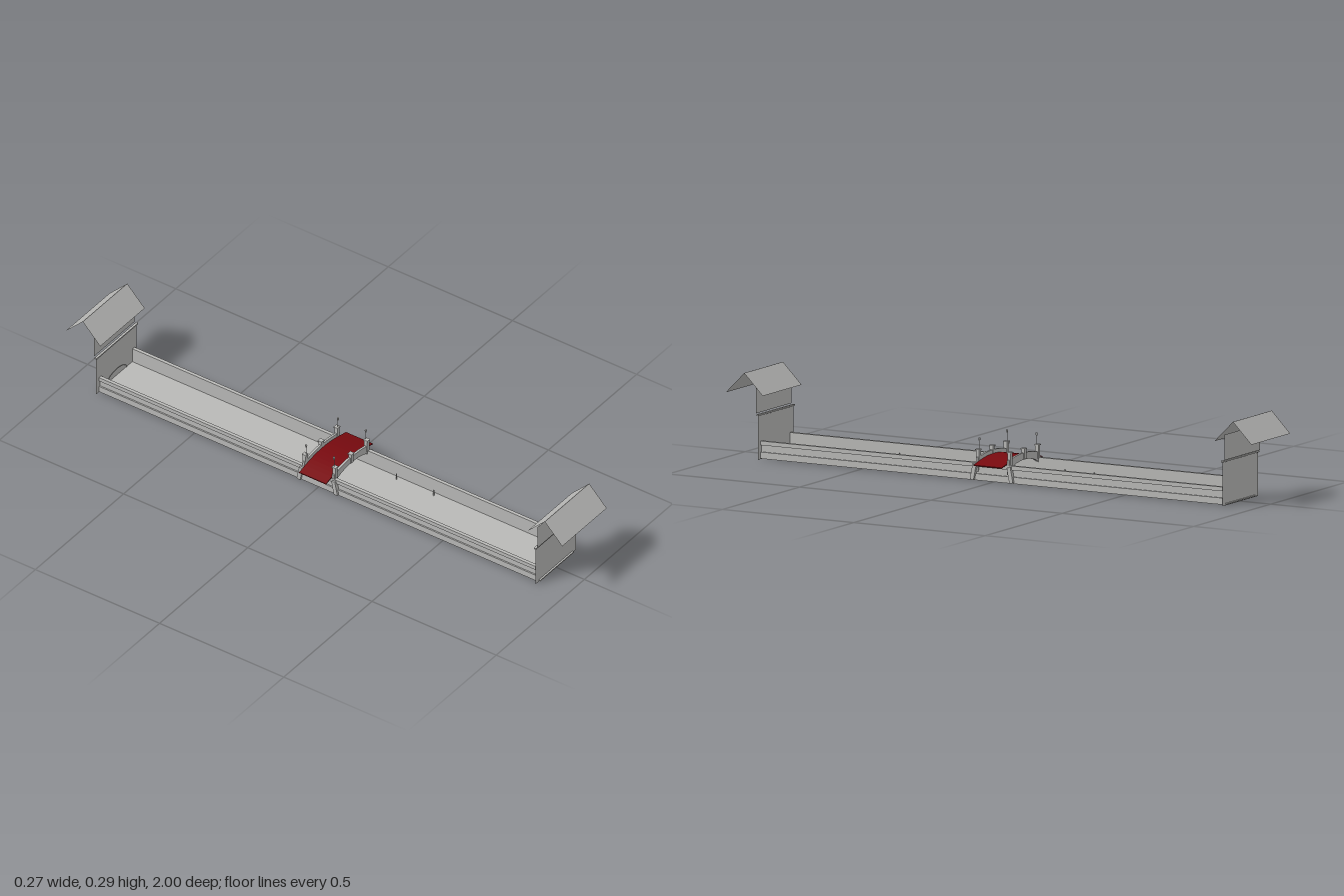
import * as THREE from 'three';

export function createModel() {
  const model = new THREE.Group();
  const stone = new THREE.MeshStandardMaterial({ color: 0xb8b8b6, side: THREE.DoubleSide });
  stone.name = 'grey stone';
  const carpet = new THREE.MeshStandardMaterial({ color: 0x780a0f, side: THREE.DoubleSide });
  carpet.name = 'dark red';

  const add = (name, geometry, material, x = 0, y = 0, z = 0) => {
    const mesh = new THREE.Mesh(geometry, material);
    mesh.name = name;
    mesh.position.set(x, y, z);
    model.add(mesh);
    return mesh;
  };
  const box = (name, w, h, d, x, y, z, material = stone) =>
    add(name, new THREE.BoxGeometry(w, h, d), material, x, y, z);

  // Long channel: floor and stepped side walls
  box('floor', 0.19, 0.004, 1.78, 0, 0.005, 0);
  for (const s of [-1, 1]) {
    box('wallBase', 0.01, 0.022, 1.765, s * 0.095, 0.013, 0);
    box('wallPanel', 0.005, 0.024, 1.765, s * 0.0925, 0.035, 0);
    box('wallCap', 0.012, 0.014, 1.765, s * 0.095, 0.054, 0);
  }

  // End walls with a thin rail, an upper panel and a gable roof
  for (const s of [-1, 1]) {
    add('endWall', new THREE.PlaneGeometry(0.23, 0.145), stone, 0, 0.0725, s * 0.884);
    box('endRail', 0.236, 0.005, 0.008, 0, 0.149, s * 0.884);
    add('upperPanel', new THREE.PlaneGeometry(0.23, 0.085), stone, 0, 0.1965, s * 0.892);
    for (const t of [-1, 1]) {
      const slope = add('roofSlope', new THREE.PlaneGeometry(0.252, Math.hypot(0.07, 0.071)),
        stone, 0, 0.2515, s * 0.93 + t * 0.035);
      slope.rotation.x = -t * Math.PI / 4;
    }
    const arch = add('endArch', new THREE.TorusGeometry(0.055, 0.001, 4, 20, Math.PI), stone, 0, 0.008, s * 0.882);
    arch.scale.y = 0.5;
  }

  // Arched bridge deck, a band following a shallow curve
  const deckTop = (x) => 0.058 + 0.02 * Math.cos((x / 0.133) * Math.PI / 2);
  const archBand = (half, top, bottom, depth) => {
    const shape = new THREE.Shape();
    const n = 16;
    const at = (i) => -half + (2 * half * i) / n;
    shape.moveTo(at(0), bottom(at(0)));
    for (let i = 0; i <= n; i++) shape.lineTo(at(i), top(at(i)));
    for (let i = n; i > 0; i--) shape.lineTo(at(i), bottom(at(i)));
    const geometry = new THREE.ExtrudeGeometry(shape, { depth, bevelEnabled: false });
    return geometry.translate(0, 0, -depth / 2);
  };
  add('bridgeDeck', archBand(0.133, deckTop, (x) => deckTop(x) - 0.003, 0.108), carpet);

  // Parapets, posts, lamp rods and splayed buttresses on both sides of the bridge
  for (const s of [-1, 1]) {
    add('parapet', archBand(0.1, (x) => deckTop(x) + 0.012,
      (x) => 0.03 + 0.037 * Math.sqrt(Math.max(0, 1 - (x / 0.1) ** 2)), 0.008), stone, 0, 0, s * 0.059);
    for (const x of [-0.09, 0, 0.09]) {
      const base = deckTop(x) - 0.01;
      box('post', 0.012, 0.103 - base, 0.012, x, (0.103 + base) / 2, s * 0.06);
      box('postCap', 0.016, 0.004, 0.016, x, 0.103, s * 0.06);
    }
    for (const x of [-0.09, 0.09]) {
      add('lampRod', new THREE.CylinderGeometry(0.001, 0.001, 0.036, 6), stone, x, 0.121, s * 0.056);
      add('lamp', new THREE.CylinderGeometry(0.004, 0.003, 0.009, 6), stone, x, 0.138, s * 0.056);
      const buttress = box('buttress', 0.018, 0.052, 0.014, x * 1.1, 0.03, s * 0.07);
      buttress.rotation.x = -s * 0.2;
    }
  }

  // Thin stakes standing in the channel
  for (const [x, z] of [[-0.08, -0.28], [-0.08, -0.17], [0.075, 0.19], [0.075, 0.34], [-0.08, 0.46]]) {
    box('stake', 0.003, 0.028, 0.003, x, 0.016, z);
  }
  box('lowRail', 0.003, 0.006, 0.05, -0.07, 0.01, -0.115);
  box('lowRail', 0.02, 0.006, 0.003, -0.08, 0.01, -0.09);

  return model;
}
